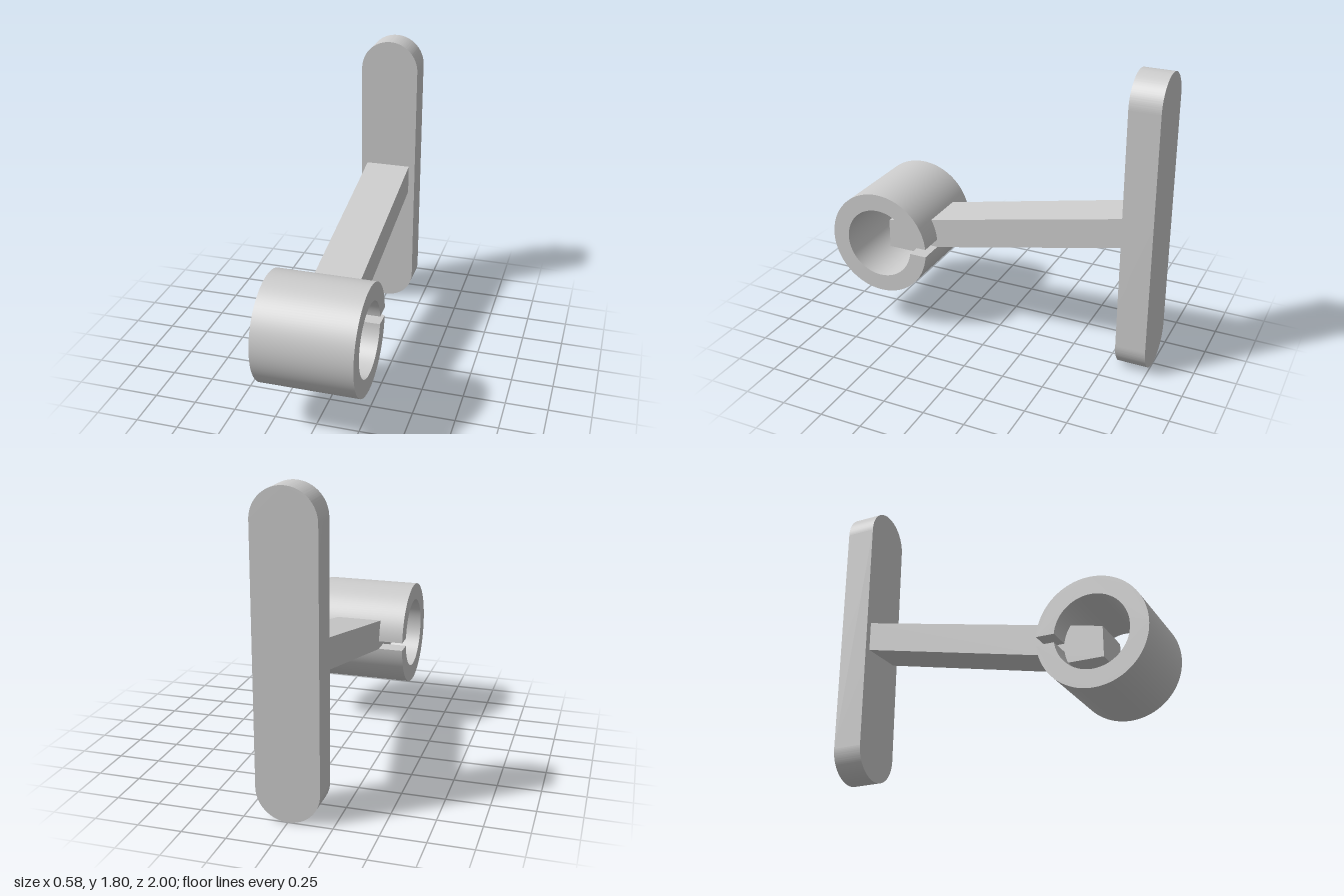
import * as THREE from 'three';
import { toCreasedNormals } from 'three/addons/utils/BufferGeometryUtils.js';

const material = new THREE.MeshStandardMaterial({ color: 0xcccccc });

function extrude(shape, depth) {
  const geometry = new THREE.ExtrudeGeometry(shape, { depth, bevelEnabled: false, curveSegments: 64 });
  geometry.translate(0, 0, -depth / 2);
  return toCreasedNormals(geometry, Math.PI / 6);
}

// Side profile drawn as (z, y), extruded across x
const extrudeAcross = (shape, width) => extrude(shape, width).rotateY(-Math.PI / 2);

function addPart(group, name, geometry) {
  const mesh = new THREE.Mesh(geometry, material);
  mesh.name = name;
  group.add(mesh);
  return mesh;
}

export function createModel() {
  const group = new THREE.Group();
  group.name = 'wallBracket';

  // Upright plate with rounded ends
  const r = 0.18, height = 1.8;
  const plate = new THREE.Shape();
  plate.absarc(0, r, r, Math.PI, 2 * Math.PI, false);
  plate.absarc(0, height - r, r, 0, Math.PI, false);
  plate.closePath();
  addPart(group, 'backPlate', extrude(plate, 0.18)).position.z = -0.91;

  // Sloping arm that runs through the ring wall and ends in the bore
  const arm = new THREE.Shape([
    [0.69, 0.475], [0.69, 0.655], [-0.83, 0.977], [-0.83, 0.797], [0.36, 0.54], [0.42, 0.475],
  ].map(([z, y]) => new THREE.Vector2(z, y)));
  addPart(group, 'arm', extrudeAcross(arm, 0.28));

  // Split ring with a narrow slot facing the plate
  const outer = 0.322, inner = 0.217, halfSlot = 0.025;
  const a = Math.PI - Math.asin(halfSlot / outer);
  const b = Math.PI - Math.asin(halfSlot / inner);
  const ring = new THREE.Shape();
  ring.absarc(0, 0, outer, -a, a, false);
  ring.absarc(0, 0, inner, b, -b, true);
  ring.closePath();
  addPart(group, 'splitRing', extrudeAcross(ring, 0.58)).position.set(0, 0.567, 0.678);

  return group;
}
